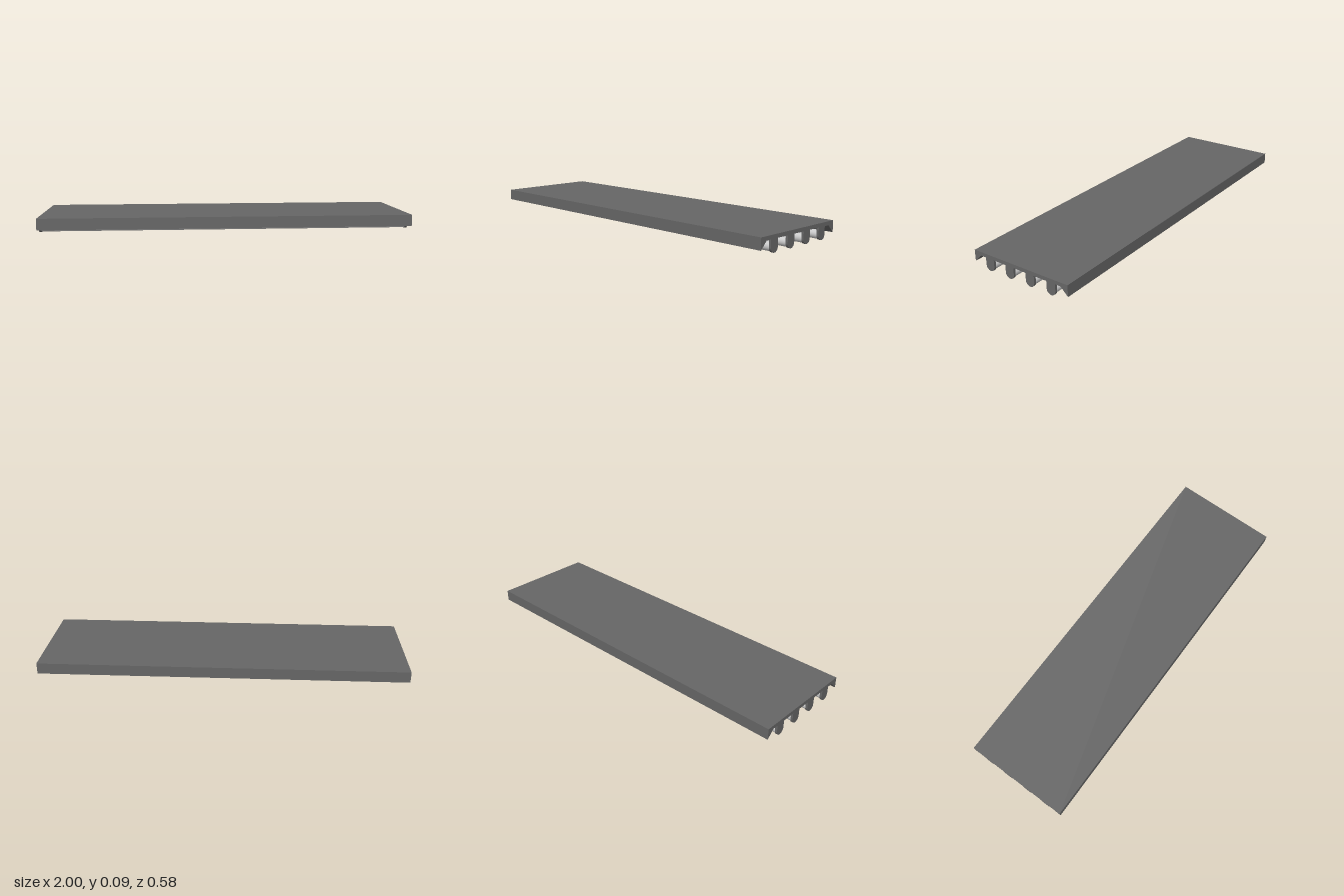
import * as THREE from 'three';

const dark = new THREE.MeshStandardMaterial({ color: 0x666666 });
const light = new THREE.MeshStandardMaterial({ color: 0xcccccc });

// Extrudes a (z, y) outline along x, centred on x = cx
function extrudeAlongX(shape, length, cx, curveSegments = 16) {
  const g = new THREE.ExtrudeGeometry(shape, { depth: length, bevelEnabled: false, curveSegments });
  g.translate(0, 0, -length / 2);
  g.rotateY(-Math.PI / 2); // shape x -> z, depth -> -x
  g.translate(cx, 0, 0);
  return g;
}

export function createModel() {
  const model = new THREE.Group();
  const add = (name, geometry, material) => {
    const mesh = new THREE.Mesh(geometry, material);
    mesh.name = name;
    model.add(mesh);
    return mesh;
  };

  const W = 0.292, top = 0.086, under = 0.066, tip = 0.025;

  // Housing: flat plate with a wedge-shaped lip along each long edge
  const profile = new THREE.Shape([
    [-W, top], [-W, tip], [-W + 0.041, under],
    [W - 0.041, under], [W, tip], [W, top],
  ].map(([z, y]) => new THREE.Vector2(z, y)));
  add('housing', extrudeAlongX(profile, 2, 0), dark);

  // Lamp tubes hung between round-bottomed holders
  const r = 0.026, holderDepth = 0.012, tubeR = 0.0225;
  for (const z of [-0.192, -0.064, 0.064, 0.192]) {
    const holder = new THREE.Shape();
    holder.moveTo(z + r, under);
    holder.lineTo(z - r, under);
    holder.lineTo(z - r, r);
    holder.absarc(z, r, r, Math.PI, Math.PI * 2, false);
    holder.closePath();
    for (const side of [-1, 1]) {
      add('lampHolder', extrudeAlongX(holder, holderDepth, side * (1 - holderDepth / 2)), dark);
    }
    const tube = new THREE.CylinderGeometry(tubeR, tubeR, 2 - 2 * holderDepth, 32);
    tube.rotateZ(Math.PI / 2);
    add('lampTube', tube, light).position.set(0, r, z);
  }
  return model;
}
